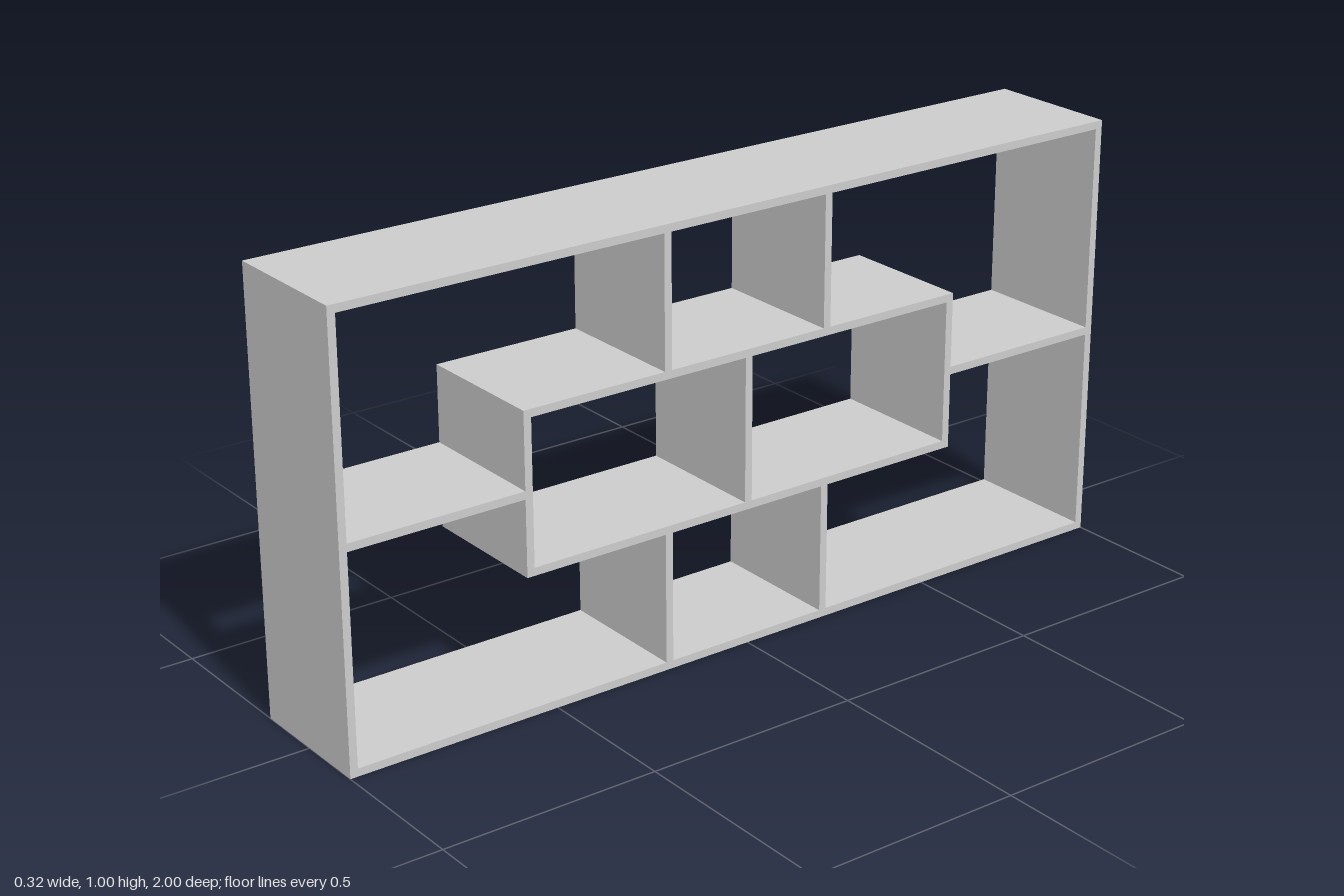
import * as THREE from 'three';

const DEPTH = 0.32; // along x
const T = 0.018; // board thickness

const material = new THREE.MeshStandardMaterial({ color: 0xcccccc });

function rectangle(PathType, w, h) {
  const p = new PathType();
  p.moveTo(-w / 2, -h / 2);
  p.lineTo(w / 2, -h / 2);
  p.lineTo(w / 2, h / 2);
  p.lineTo(-w / 2, h / 2);
  p.closePath();
  return p;
}

// Open rectangular frame, length along z, centred on mid height
function frame(name, length, height) {
  const shape = rectangle(THREE.Shape, length, height);
  shape.holes.push(rectangle(THREE.Path, length - 2 * T, height - 2 * T));
  const geometry = new THREE.ExtrudeGeometry(shape, { depth: DEPTH, bevelEnabled: false });
  geometry.translate(0, 0, -DEPTH / 2).rotateY(Math.PI / 2);
  const mesh = new THREE.Mesh(geometry, material);
  mesh.name = name;
  mesh.position.y = 0.5;
  return mesh;
}

function board(name, height, length, y, z) {
  const mesh = new THREE.Mesh(new THREE.BoxGeometry(DEPTH, height, length), material);
  mesh.name = name;
  mesh.position.set(0, y, z);
  return mesh;
}

export function createModel() {
  const group = new THREE.Group();
  group.name = 'shelfUnit';

  const innerLength = 1.136;
  const innerHeight = 0.366;

  // Outer case and the box held in its middle
  group.add(frame('outerFrame', 2, 1));
  group.add(frame('innerFrame', innerLength, innerHeight));
  group.add(board('centreDivider', innerHeight - 2 * T, T, 0.5, 0));

  // Side shelves and the dividers above and below the inner box
  const shelfLength = 1 - T - innerLength / 2;
  const dividerHeight = 0.5 - T - innerHeight / 2;
  for (const side of [-1, 1]) {
    group.add(board('sideShelf', T, shelfLength, 0.5, side * (innerLength / 2 + shelfLength / 2)));
    for (const level of [-1, 1]) {
      const y = 0.5 + level * (innerHeight / 2 + dividerHeight / 2);
      group.add(board(level > 0 ? 'upperDivider' : 'lowerDivider', dividerHeight, T, y, side * 0.21));
    }
  }
  return group;
}
